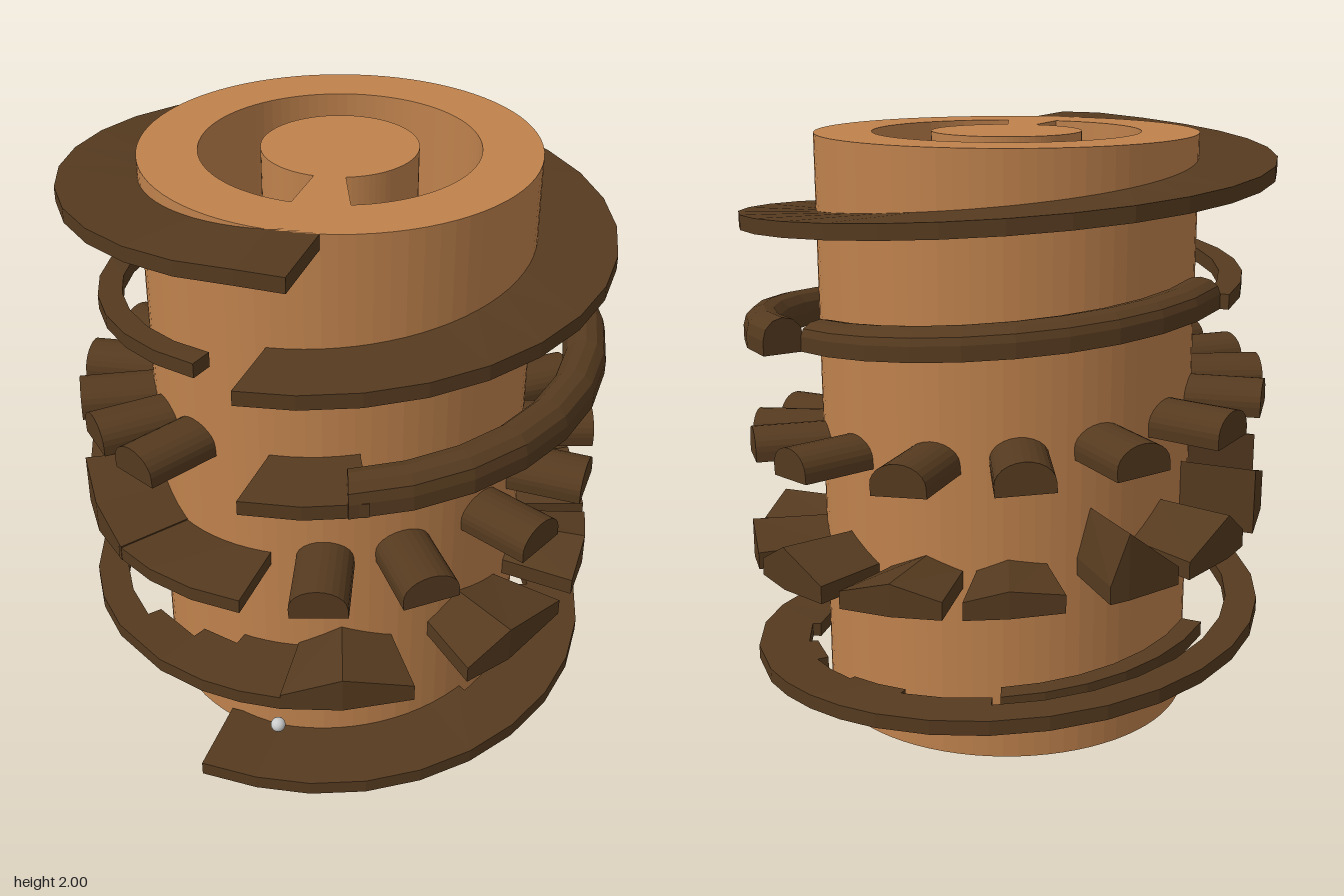
import * as THREE from 'three';

const RAD = Math.PI / 180;
const DRUM = 0.65, OUT = 0.91, PITCH = 0.39, THICK = 0.05;
// top height of the spiral ramp at an angle in degrees, counted from the front
const rampY = (deg) => 0.05 + PITCH * deg / 360;

const wood = new THREE.MeshStandardMaterial({ color: 0xbf824d, flatShading: true });
const dark = new THREE.MeshStandardMaterial({ color: 0x553a1f, flatShading: true });
const steel = new THREE.MeshStandardMaterial({ color: 0xcccccc });

// sweep a closed convex [radius, height] profile along the spiral, with end caps
function sweep(angles, profileAt) {
  const pos = [], idx = [];
  let n = 0;
  angles.forEach((deg) => {
    const profile = profileAt(deg);
    n = profile.length;
    for (const [r, dy] of profile) {
      pos.push(r * Math.sin(deg * RAD), rampY(deg) + dy, r * Math.cos(deg * RAD));
    }
  });
  const last = (angles.length - 1) * n;
  for (let s = 0; s < last; s += n) {
    for (let i = 0; i < n; i++) {
      const j = (i + 1) % n;
      idx.push(s + i, s + n + i, s + n + j, s + i, s + n + j, s + j);
    }
  }
  for (let i = 1; i < n - 1; i++) {
    idx.push(0, i, i + 1, last, last + i + 1, last + i);
  }
  const g = new THREE.BufferGeometry();
  g.setAttribute('position', new THREE.Float32BufferAttribute(pos, 3));
  g.setIndex(idx);
  const flat = g.toNonIndexed();
  flat.computeVertexNormals();
  return flat;
}

function steps(a, b, size = 12) {
  const n = Math.max(1, Math.round((b - a) / size));
  return Array.from({ length: n + 1 }, (_, i) => a + (b - a) * i / n);
}

const slab = (r0, r1, top = 0) => [[r0, -THICK], [r1, -THICK], [r1, top], [r0, top]];

// rail section with a rounded top
function bead(r0, r1, height) {
  const p = [[r0, -THICK], [r1, -THICK]];
  const c = (r0 + r1) / 2, w = (r1 - r0) / 2;
  for (let i = 0; i <= 6; i++) {
    const t = Math.PI * i / 6;
    p.push([c + w * Math.cos(t), height * Math.sin(t)]);
  }
  return p;
}

export function createModel() {
  const model = new THREE.Group();
  const add = (name, geometry, material = dark) => {
    const m = new THREE.Mesh(geometry, material);
    m.name = name;
    model.add(m);
    return m;
  };

  // drum with a C-shaped channel that leaves a core pin joined by one web
  const section = new THREE.Shape().absarc(0, 0, DRUM, 0, Math.PI * 2);
  const channel = new THREE.Path();
  const from = -90 * RAD, to = -67.5 * RAD - Math.PI * 2;
  channel.absarc(0, 0, 0.455, from, to, true);
  channel.absarc(0, 0, 0.255, to, from, false);
  section.holes.push(channel);
  const drum = new THREE.ExtrudeGeometry(section, { depth: 2, bevelEnabled: false, curveSegments: 40 });
  drum.rotateX(-Math.PI / 2);
  add('drum', drum, wood);

  // flat landings at the bottom and the top of the spiral
  const landing = (name, x0, x1, y) => add(name,
    new THREE.BoxGeometry(x1 - x0, THICK, OUT - DRUM + 0.02)
      .translate((x0 + x1) / 2, y, (OUT + DRUM - 0.02) / 2));
  landing('startLanding', -0.2, 0, 0.025);
  landing('endLanding', 0, 0.15, 1.975);

  // first turn: the ramp narrows in steps to an outer ledge, then widens again
  const ledges = [
    [0, 60, 0.64], [60, 85, 0.68], [85, 110, 0.7], [110, 125, 0.73], [125, 140, 0.7],
    [140, 158, 0.74], [158, 176, 0.72], [176, 200, 0.75], [200, 320, 0.8],
    [320, 336, 0.75], [336, 348, 0.7], [348, 366, 0.64],
  ];
  for (const [a, b, r] of ledges) add('steppedRamp', sweep(steps(a, b), () => slab(r, OUT)));
  // inner ledge beside the slot
  add('innerLedge', sweep(steps(202, 268), () => slab(0.68, 0.75)));

  // second turn: separate peaked blocks [start, end, peak angle, peak height]
  const blocks = [
    [6, 34, 19, 0.08], [46, 75, 57, 0.08], [82, 106, 93, 0.07], [109, 134, 124, 0.09],
    [138, 163, 150, 0.1], [168, 191, 180, 0.06], [195, 215, 204, 0.04],
    [224, 240, 228, 0.17], [243, 263, 256, 0.1],
  ];
  for (const [a, b, peak, h] of blocks) {
    add('peakedBlock', sweep([a, peak, b].map((d) => d + 360),
      (d) => slab(0.64, OUT, d - 360 === peak ? h : 0.01)));
  }
  // steep wedges falling onto the next stretch of ramp
  const wedge = (a, b, h) => add('wedge', sweep(steps(a, b, 14).map((d) => d + 360),
    (d) => slab(0.64, OUT, h * (b + 360 - d) / (b - a) + 0.005)));
  wedge(270, 298, 0.17);
  wedge(299, 325, 0.13);
  add('shortRamp', sweep(steps(684, 718), () => slab(0.64, OUT)));

  // third turn: round-topped bumps pointing outward
  const bump = new THREE.Shape();
  bump.moveTo(-0.095, -0.05);
  bump.lineTo(0.095, -0.05);
  bump.lineTo(0.095, -0.015);
  bump.absellipse(0, -0.015, 0.095, 0.07, 0, Math.PI, false, 0);
  bump.closePath();
  const bumpGeometry = new THREE.ExtrudeGeometry(bump, { depth: 0.26, bevelEnabled: false, curveSegments: 6 });
  bumpGeometry.rotateZ(0.068).translate(0, 0, 0.64);
  for (const deg of [14, 37, 65, 88, 109, 129, 153, 182, 207, 231, 257, 279, 298, 315, 332]) {
    const m = add('roundBump', bumpGeometry);
    m.rotation.y = deg * RAD;
    m.position.y = rampY(deg + 720);
  }

  // fourth turn: flat start, outer rail, inner rail, thin ledge
  const turn4 = (name, a, b, profile) => add(name, sweep(steps(a + 1080, b + 1080), () => profile));
  turn4('railStart', -1.5, 24, slab(0.64, OUT));
  turn4('outerRail', 20, 145, bead(0.77, OUT, 0.07));
  turn4('innerRail', 145, 266, bead(0.64, 0.78, 0.05));
  turn4('thinLedge', 266, 346, slab(0.73, 0.81));

  // fifth turn: full-width ramp up to the top
  add('topRamp', sweep(steps(1438.5, 1800), () => slab(0.64, OUT)));

  // marble at the foot of the ramp
  add('marble', new THREE.SphereGeometry(0.026, 20, 14).translate(0, 0.09, 0.69), steel);
  return model;
}
